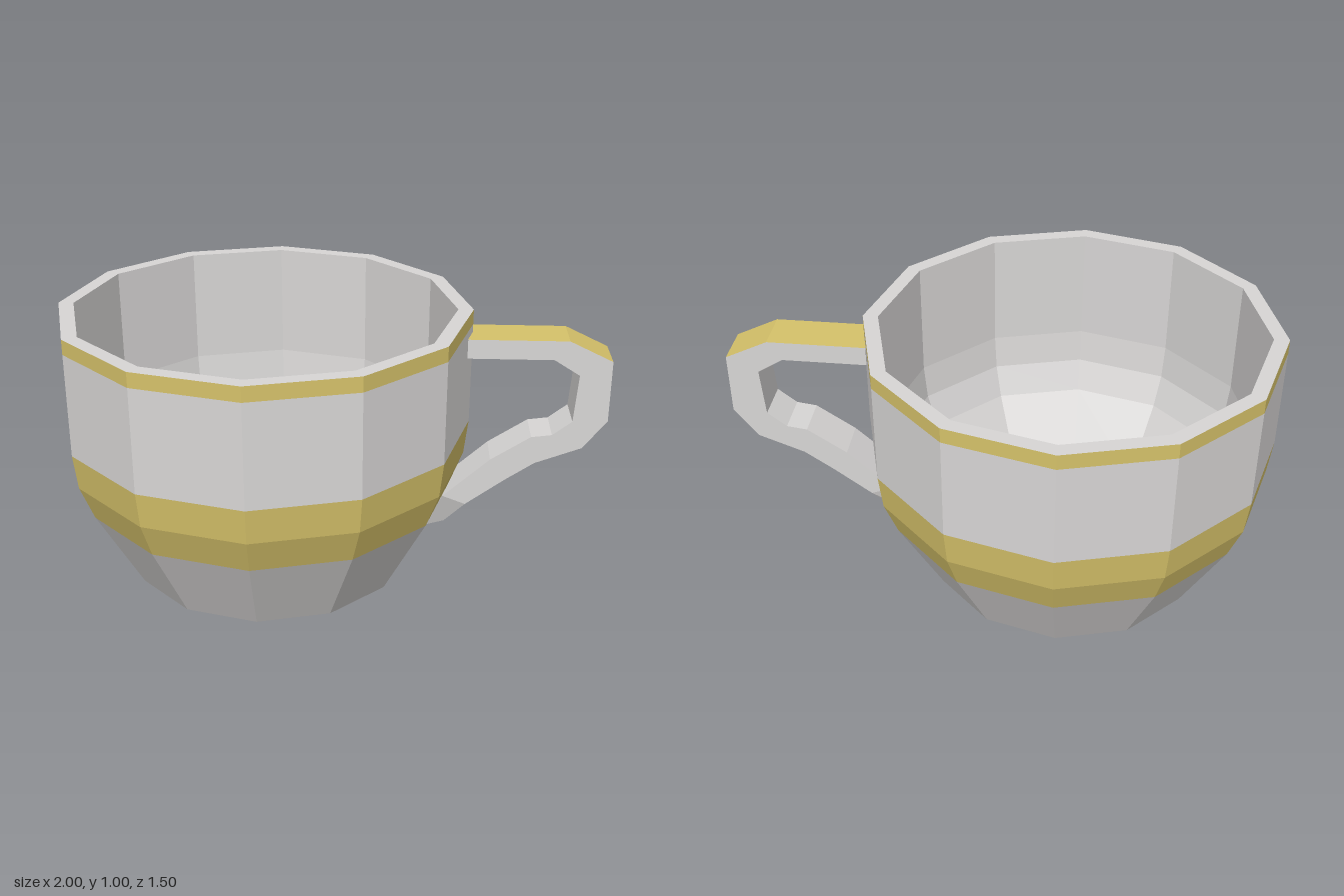
import * as THREE from 'three';

const SIDES = 12;
const CUP_X = -0.25;

export function createModel() {
  const grey = new THREE.MeshStandardMaterial({ color: 0xd8d6d5, flatShading: true });
  grey.name = 'light grey';
  const gold = new THREE.MeshStandardMaterial({ color: 0xd6c26a, flatShading: true });
  gold.name = 'gold';

  const model = new THREE.Group();
  model.name = 'cup';

  // One twelve-sided ring of the cup, from a profile of [radius, height]
  const ring = (name, material, profile) => {
    const points = profile.map(([r, y]) => new THREE.Vector2(r, y));
    const mesh = new THREE.Mesh(new THREE.LatheGeometry(points, SIDES), material);
    mesh.name = name;
    mesh.position.x = CUP_X;
    model.add(mesh);
  };
  ring('base', grey, [[0, 0], [0.517, 0], [0.685, 0.31]]);
  ring('lowerBand', gold, [[0.685, 0.31], [0.735, 0.44], [0.75, 0.57]]);
  ring('wall', grey, [[0.75, 0.57], [0.75, 0.95]]);
  ring('rimBand', gold, [[0.75, 0.95], [0.75, 1.005]]);
  ring('rimAndInside', grey, [
    [0.75, 1.005], [0.695, 1.005], [0.695, 0.57], [0.68, 0.44],
    [0.635, 0.32], [0.48, 0.05], [0, 0.05],
  ]);

  // Handle sections: outer x, y, inner x, y, half width
  const sections = [
    [0.48, 0.92, 0.48, 0.848, 0.08],
    [0.84, 0.92, 0.79, 0.848, 0.08],
    [0.997, 0.845, 0.883, 0.79, 0.08],
    [0.997, 0.615, 0.87, 0.61, 0.08],
    [0.912, 0.505, 0.8, 0.555, 0.08],
    [0.743, 0.44, 0.725, 0.545, 0.08],
    [0.64, 0.37, 0.58, 0.45, 0.08],
    [0.495, 0.263, 0.41, 0.295, 0.08],
    [0.42, 0.168, 0.34, 0.145, 0.037],
  ].map(([ox, oy, ix, iy, w]) => ({
    of: [ox, oy, w], ob: [ox, oy, -w], inf: [ix, iy, w], inb: [ix, iy, -w],
  }));

  const goldFaces = [];
  const greyFaces = [];
  const quad = (list, a, b, c, d) => list.push(...a, ...b, ...c, ...a, ...c, ...d);
  for (let k = 0; k < sections.length - 1; k++) {
    const s = sections[k];
    const t = sections[k + 1];
    quad(goldFaces, s.of, t.of, t.ob, s.ob);
    quad(greyFaces, s.inf, t.inf, t.of, s.of);
    quad(greyFaces, s.inb, t.inb, t.inf, s.inf);
    quad(greyFaces, s.ob, t.ob, t.inb, s.inb);
  }
  // End caps
  const first = sections[0];
  const last = sections[sections.length - 1];
  quad(greyFaces, first.of, first.ob, first.inb, first.inf);
  quad(greyFaces, last.of, last.inf, last.inb, last.ob);

  const handle = new THREE.Group();
  handle.name = 'handle';
  const addFaces = (name, material, list) => {
    const geometry = new THREE.BufferGeometry();
    geometry.setAttribute('position', new THREE.Float32BufferAttribute(list, 3));
    geometry.computeVertexNormals();
    const mesh = new THREE.Mesh(geometry, material);
    mesh.name = name;
    handle.add(mesh);
  };
  addFaces('handleOuterFace', gold, goldFaces);
  addFaces('handleSides', grey, greyFaces);
  model.add(handle);

  return model;
}
